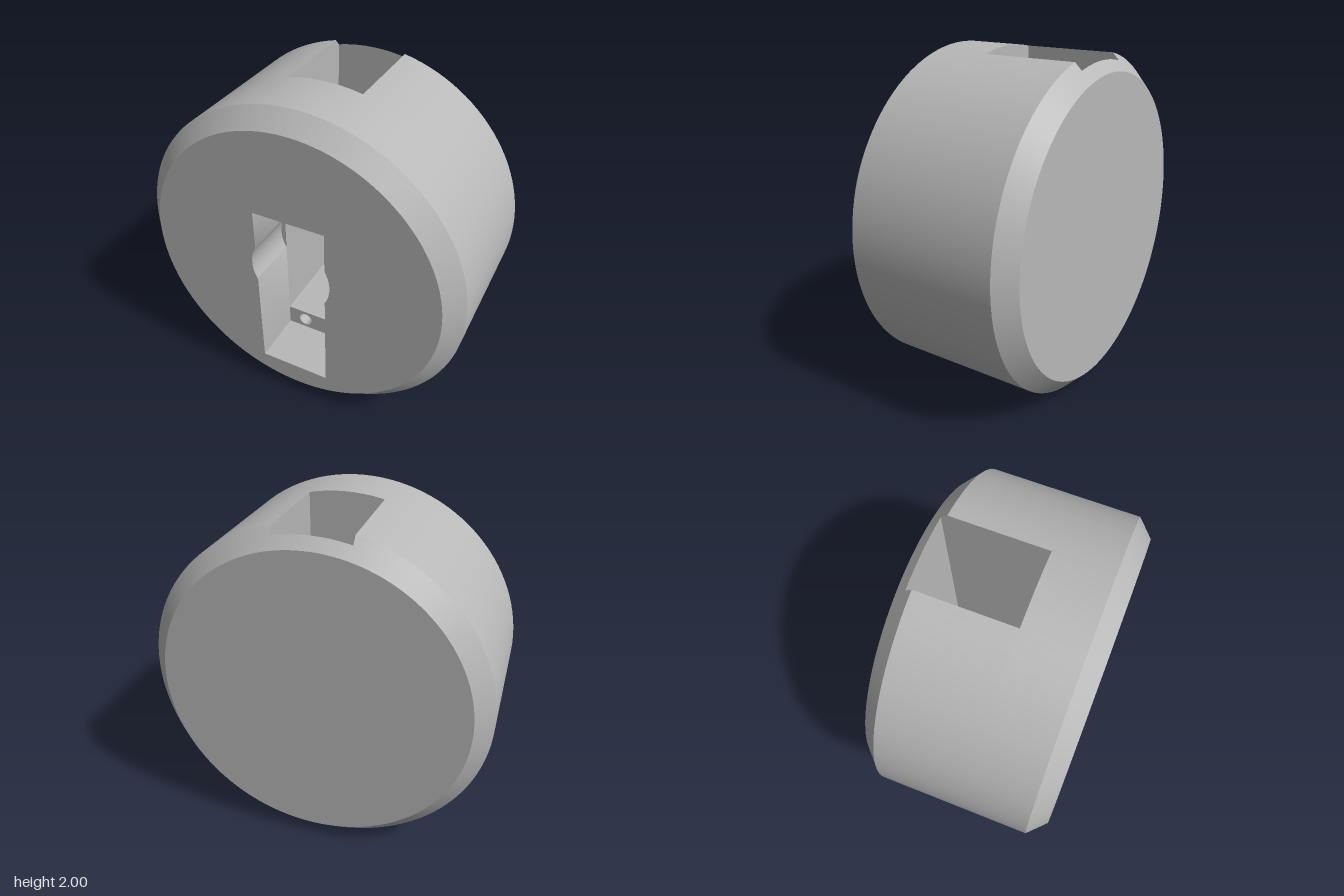
import * as THREE from 'three';
import { mergeGeometries, toCreasedNormals } from 'three/addons/utils/BufferGeometryUtils.js';

const W = 0.22;                       // half width of pocket and slot
const LOW = 0.37, HIGH = 1.235;       // inner cavity, bottom and top
const BOTTOM = 0.24, TOP = 1.365;     // pocket mouth, bottom and top
const LEDGE = 0.22, SLOT_FRONT = 0.11, SLOT_BACK = -0.49;
const SCREW_R = 0.045;

// points on an arc from angle a to angle b
function arc(cx, cy, r, a, b, n) {
  return Array.from({ length: n + 1 }, (_, i) => {
    const t = a + (b - a) * i / n;
    return new THREE.Vector2(cx + r * Math.cos(t), cy + r * Math.sin(t));
  });
}
const pts = (...list) => list.map(([x, y]) => new THREE.Vector2(x, y));
const circle = (x, y, r) => arc(x, y, r, Math.PI * 2, 0, 28);

// wall between two outlines: the counter-clockwise direction faces outward
function wall(back, zBack, front, zFront) {
  const pos = [];
  for (let i = 0; i < back.length - 1; i++) {
    const a = [back[i].x, back[i].y, zBack], b = [back[i + 1].x, back[i + 1].y, zBack];
    const c = [front[i + 1].x, front[i + 1].y, zFront], d = [front[i].x, front[i].y, zFront];
    pos.push(...a, ...b, ...c, ...a, ...c, ...d);
  }
  const g = new THREE.BufferGeometry();
  g.setAttribute('position', new THREE.Float32BufferAttribute(pos, 3));
  return g;
}

// flat face at depth z, with holes, facing +z or -z
function face(outline, z, holes = [], flip = false) {
  const shape = new THREE.Shape(outline);
  holes.forEach((h) => shape.holes.push(new THREE.Path(h)));
  let g = new THREE.ShapeGeometry(shape);
  if (flip) g.setIndex(Array.from(g.index.array).reverse());
  g = g.toNonIndexed().translate(0, 0, z);
  g.deleteAttribute('uv');
  g.deleteAttribute('normal');
  return g;
}

// rim outline, divided where the slot edges cross it
const slotAngle = (r) => Math.asin(W / r);
const rimSide = (r) => arc(0, 1, r, Math.PI / 2 + slotAngle(r), Math.PI * 2.5 - slotAngle(r), 110);
const rimCap = (r) => arc(0, 1, r, Math.PI / 2 - slotAngle(r), Math.PI / 2 + slotAngle(r), 10);
const rim = (r) => [...rimSide(r), ...rimCap(r).slice(1, -1)];
const rimHeight = (r) => 1 + Math.sqrt(r * r - W * W);

export function createModel() {
  const model = new THREE.Group();
  const grey = new THREE.MeshStandardMaterial({ color: 0xb8b8b8 });
  grey.name = 'grey';
  const add = (name, parts) => {
    const mesh = new THREE.Mesh(toCreasedNormals(mergeGeometries(parts), 0.5), grey);
    mesh.name = name;
    model.add(mesh);
  };

  // chamfered drum, open at the top where the slot enters
  const sections = [[-0.55, 0.9], [SLOT_BACK, 0.96], [-0.45, 1], [SLOT_FRONT, 1], [0.45, 1], [0.55, 0.9]];
  const drum = [];
  for (let i = 0; i < sections.length - 1; i++) {
    const [z0, r0] = sections[i], [z1, r1] = sections[i + 1];
    drum.push(wall(rimSide(r0), z0, rimSide(r1), z1));
    if (z1 <= SLOT_BACK || z0 >= SLOT_FRONT) drum.push(wall(rimCap(r0), z0, rimCap(r1), z1));
  }
  add('drumRim', drum);

  // pocket mouth: a tall rectangle with a round bulge on each side
  const bulgeR = 0.25, bulge = Math.acos(W / bulgeR);
  const rightBulge = arc(0, 1, bulgeR, bulge, -bulge, 16);
  const leftBulge = arc(0, 1, bulgeR, Math.PI + bulge, Math.PI - bulge, 16);
  const mouth = [
    ...pts([W, TOP]), ...rightBulge, ...pts([W, BOTTOM], [-W, BOTTOM]),
    ...leftBulge, ...pts([-W, TOP]),
  ];
  const mouthLoop = [...mouth, mouth[0]];
  add('frontFace', [face(rim(0.9), 0.55, [mouth])]);
  add('backFace', [face(rim(0.9), -0.55, [], true)]);
  add('pocketWall', [wall(mouthLoop, LEDGE, mouthLoop, 0.55)]);
  add('bulgeSteps', [face(rightBulge, LEDGE), face(leftBulge, LEDGE)]);

  // screw ledges at both ends of the pocket
  const screws = (y) => [-0.1, 0.1].map((x) => circle(x, y, SCREW_R));
  const lowScrews = screws(0.305), highScrews = screws(1.295);
  const rect = (y0, y1) => pts([-W, y0], [W, y0], [W, y1], [-W, y1]);
  add('lowerLedge', [face(rect(BOTTOM, LOW), LEDGE, lowScrews)]);
  add('upperLedge', [face(rect(HIGH, TOP), LEDGE, highScrews)]);
  const blind = -0.08;
  add('lowerScrewHoles', lowScrews.flatMap((c) => [
    wall(c, blind, c, LEDGE), face(c, blind),
  ]));
  add('upperScrewHoles', highScrews.map((c) => wall(c, SLOT_FRONT, c, LEDGE)));

  // inner cavity behind the ledges
  const inner = pts([W, HIGH], [W, LOW], [-W, LOW], [-W, HIGH], [W, HIGH]);
  add('cavityWall', [wall(inner, SLOT_FRONT, inner, LEDGE)]);

  // slot running from the cavity up through the rim
  const channel = (r) => pts([W, rimHeight(r)], [W, LOW], [-W, LOW], [-W, rimHeight(r)]);
  add('slotWall', [
    wall(channel(0.96), SLOT_BACK, channel(1), -0.45),
    wall(channel(1), -0.45, channel(1), SLOT_FRONT),
  ]);
  add('slotBack', [face([...pts([-W, LOW], [W, LOW]), ...rimCap(0.96)], SLOT_BACK)]);
  add('slotFront', [face([...pts([-W, HIGH], [W, HIGH]), ...rimCap(1)], SLOT_FRONT, highScrews, true)]);

  return model;
}
